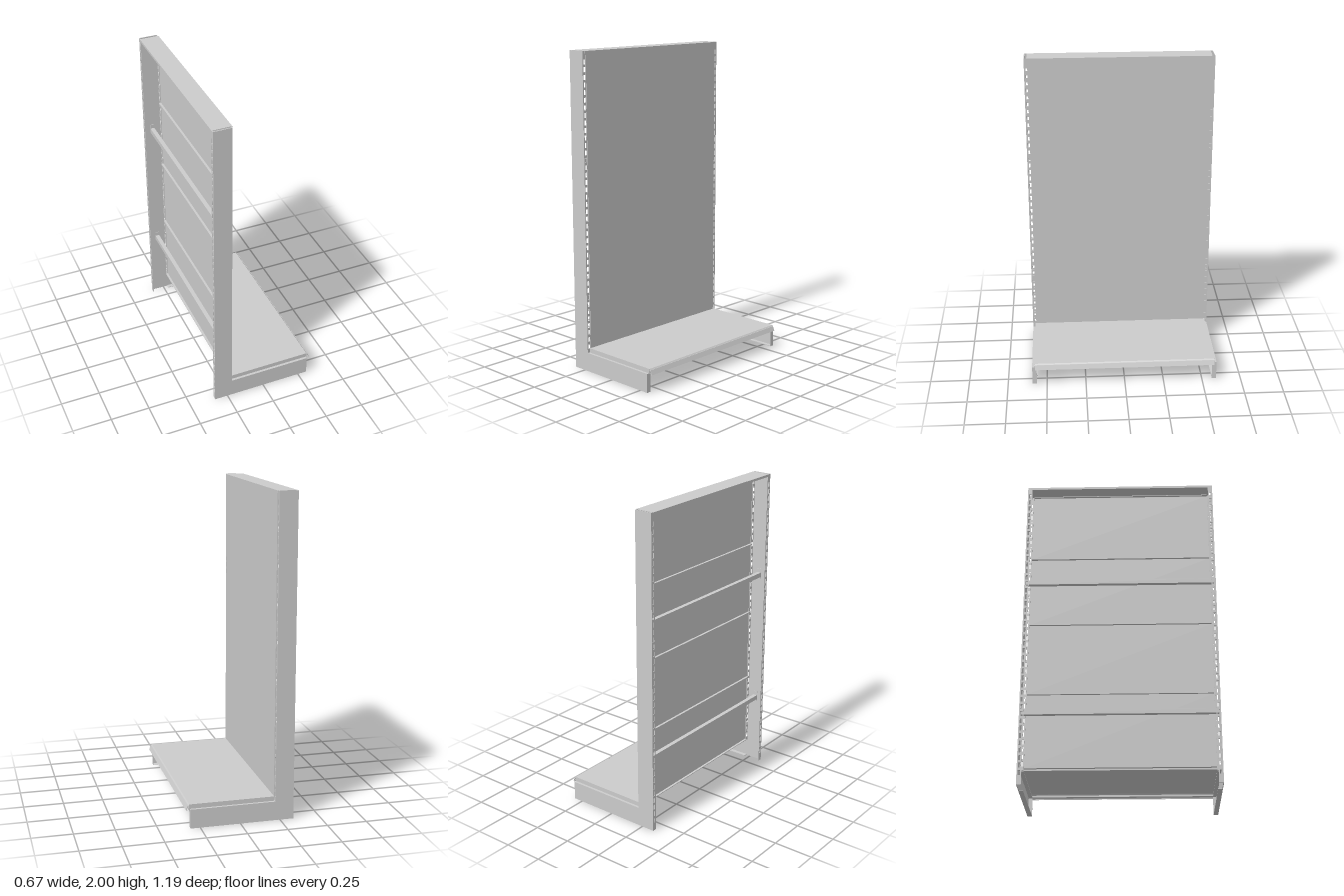
import * as THREE from 'three';

const material = new THREE.MeshStandardMaterial({ color: 0xcccccc, side: THREE.DoubleSide });
const T = 0.004; // sheet thickness
const BACK = -0.335, FRONT = -0.22, OUT = 0.593, PITCH = 0.0455;

// Box given by its minimum and maximum on each axis
function box(parent, name, x0, x1, y0, y1, z0, z1) {
  const mesh = new THREE.Mesh(new THREE.BoxGeometry(x1 - x0, y1 - y0, z1 - z0), material);
  mesh.position.set((x0 + x1) / 2, (y0 + y1) / 2, (z0 + z1) / 2);
  mesh.name = name;
  parent.add(mesh);
  return mesh;
}

// Extrusion along z of an outline in x and y
function extrudeZ(parent, name, points, z0, z1) {
  const shape = new THREE.Shape(points.map(([x, y]) => new THREE.Vector2(x, y)));
  const mesh = new THREE.Mesh(
    new THREE.ExtrudeGeometry(shape, { depth: z1 - z0, bevelEnabled: false }), material);
  mesh.position.z = z0;
  mesh.name = name;
  parent.add(mesh);
  return mesh;
}

// Slotted flange of an upright, lying in the yz plane at x
function slottedFlange(parent, name, side, x, y0) {
  const zs = [0.565, OUT].map(z => z * -side).sort((a, b) => a - b);
  const ss = [0.572, 0.586].map(z => z * -side).sort((a, b) => a - b);
  const rect = (P, a, b, c, d) => {
    const p = new P();
    p.moveTo(a, c); p.lineTo(b, c); p.lineTo(b, d); p.lineTo(a, d); p.closePath();
    return p;
  };
  const shape = rect(THREE.Shape, zs[0], zs[1], y0, 2);
  for (let y = 1.935; y > y0 + 0.03; y -= PITCH) {
    shape.holes.push(rect(THREE.Path, ss[0], ss[1], y - 0.015, y + 0.015));
  }
  const mesh = new THREE.Mesh(
    new THREE.ExtrudeGeometry(shape, { depth: T, bevelEnabled: false }), material);
  mesh.rotation.y = Math.PI / 2; // outline x becomes -z
  mesh.position.x = x;
  mesh.name = name;
  parent.add(mesh);
}

// L-shaped side frame: upright channel and base leg channel
function sideFrame(side) {
  const g = new THREE.Group();
  g.name = side > 0 ? 'leftFrame' : 'rightFrame';
  const span = (a, b) => (side > 0 ? [a, b] : [-b, -a]);
  extrudeZ(g, 'sidePlate', [
    [BACK, 0], [0.31, 0], [0.31, 0.12], [FRONT, 0.12], [FRONT, 2], [BACK, 2],
  ], ...span(OUT - T, OUT));
  slottedFlange(g, 'frontFlange', side, FRONT - T, 0.12);
  slottedFlange(g, 'backFlange', side, BACK, 0);
  box(g, 'legTopFlange', FRONT, 0.31, 0.116, 0.12, ...span(0.565, OUT));
  box(g, 'legBottomFlange', FRONT, 0.31, 0, T, ...span(0.565, OUT));
  box(g, 'legEnd', 0.31 - T, 0.31, 0, 0.12, ...span(0.565, OUT));
  return g;
}

// Stacked back panels, each with folded top and bottom edges
function backPanels() {
  const g = new THREE.Group();
  g.name = 'backPanels';
  const joints = [0.13, 0.6, 1.065, 1.53, 1.996];
  for (let i = 0; i < 4; i++) {
    const y0 = joints[i], y1 = joints[i + 1];
    box(g, 'panelSheet', FRONT, FRONT + T, y0, y1, -0.57, 0.57);
    for (const y of [y0, y1 - T]) {
      box(g, 'panelFold', FRONT - 0.014, FRONT, y, y + T, -0.563, 0.563);
    }
  }
  return g;
}

// Horizontal tie bar between the uprights, with end plates
function tieBar(y) {
  const g = new THREE.Group();
  g.name = 'tieBar';
  box(g, 'bar', -0.292, -0.266, y - 0.015, y + 0.015, -0.585, 0.585);
  for (const s of [-1, 1]) {
    box(g, 'barEnd', -0.292, -0.266, y - 0.025, y + 0.04, s * 0.587 - 0.002, s * 0.587 + 0.002);
  }
  return g;
}

// Folded cap closing the top of the unit
function topCap() {
  const g = new THREE.Group();
  g.name = 'topCap';
  box(g, 'capSheet', BACK, FRONT + T, 2 - T, 2, -0.576, 0.576);
  box(g, 'capBackLip', BACK - 0.001, BACK + T, 1.985, 2, -0.576, 0.576);
  box(g, 'capFrontLip', FRONT, FRONT + T + 0.001, 1.985, 2, -0.576, 0.576);
  return g;
}

// Pan-shaped base shelf, open below, with a sloping front strip
function baseShelf() {
  const g = new THREE.Group();
  g.name = 'baseShelf';
  const W = 0.577;
  box(g, 'shelfSheet', FRONT + T, 0.312, 0.144, 0.148, -W, W);
  box(g, 'shelfBackRim', FRONT + T, FRONT + 2 * T, 0.12, 0.148, -W, W);
  box(g, 'shelfBackFold', FRONT + T, -0.2, 0.12, 0.124, -W, W);
  for (const s of [-1, 1]) {
    box(g, 'shelfSideRim', FRONT + T, 0.316, 0.12, 0.148, s * (W - T / 2) - T / 2, s * (W - T / 2) + T / 2);
  }
  extrudeZ(g, 'shelfNose', [
    [0.308, 0.148], [0.313, 0.148], [0.322, 0.138], [0.322, 0.12],
    [0.3, 0.12], [0.3, 0.124], [0.318, 0.124], [0.318, 0.137], [0.311, 0.144], [0.308, 0.144],
  ], -W, W);
  extrudeZ(g, 'frontStrip', [
    [0.319, 0.141], [0.322, 0.141], [0.335, 0.113], [0.326, 0.11], [0.326, 0.113], [0.331, 0.115],
  ], -0.575, 0.575);
  return g;
}

export function createModel() {
  const model = new THREE.Group();
  model.name = 'displayShelfUnit';
  model.add(sideFrame(1), sideFrame(-1), backPanels(), topCap(), baseShelf());
  for (const y of [1.33, 0.46]) model.add(tieBar(y));
  return model;
}
